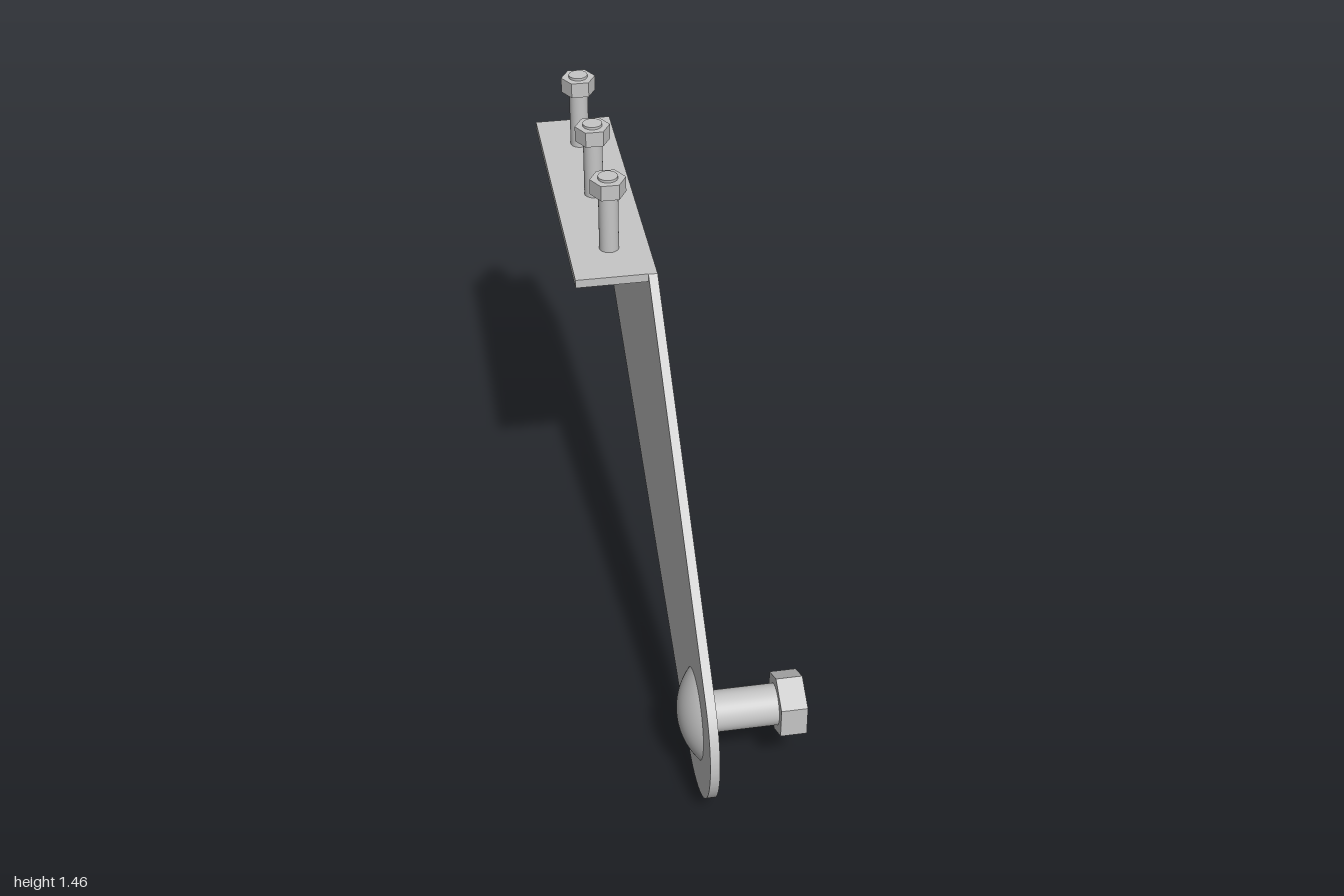
import * as THREE from 'three';
import { toCreasedNormals } from 'three/addons/utils/BufferGeometryUtils.js';

export function createModel() {
  const model = new THREE.Group();
  model.name = 'mountingBracket';
  const steel = new THREE.MeshStandardMaterial({ color: 0xc6c6c6 });
  steel.name = 'steel grey';

  function add(parent, name, geometry, x = 0, y = 0, z = 0) {
    const mesh = new THREE.Mesh(geometry, steel);
    mesh.name = name;
    mesh.position.set(x, y, z);
    parent.add(mesh);
    return mesh;
  }
  const rod = (radius, length) => new THREE.CylinderGeometry(radius, radius, length, 48);
  // Six-sided nut or head with corners on the x axis
  const hex = (radius, length) =>
    toCreasedNormals(new THREE.CylinderGeometry(radius, radius, length, 6).rotateY(Math.PI / 2), 0.5);

  const OUTER = -0.022, INNER = -0.049, TOP = 1.215;
  const PIVOT_Y = 0.24, PIVOT_Z = 0.76;

  // Side plate, drawn in (z, y): straight edges run tangent into the round end
  const outline = new THREE.Shape();
  outline.moveTo(-0.036, TOP);
  outline.lineTo(-1, TOP);
  outline.lineTo(-1, 0.833);
  outline.absarc(PIVOT_Z, PIVOT_Y, 0.24, THREE.MathUtils.degToRad(-116), THREE.MathUtils.degToRad(50.3), false);
  outline.closePath();
  const plate = new THREE.ExtrudeGeometry(outline, { depth: OUTER - INNER, bevelEnabled: false, curveSegments: 48 });
  plate.rotateY(-Math.PI / 2);
  add(model, 'sidePlate', toCreasedNormals(plate, 0.5), OUTER);

  // Top flange folded away from the plate
  add(model, 'topFlange', new THREE.BoxGeometry(0.211, 0.026, 0.962), -0.1545, TOP - 0.013, -0.519);

  // Three upright bolts through the flange
  for (const z of [-0.2, -0.52, -0.84]) {
    const bolt = new THREE.Group();
    bolt.name = 'flangeBolt';
    bolt.position.set(-0.139, 0, z);
    add(bolt, 'boltShaft', rod(0.029, 0.285), 0, 1.3125);
    add(bolt, 'boltNut', hex(0.053, 0.048), 0, 1.423);
    add(bolt, 'boltHead', rod(0.053, 0.041), 0, 1.17);
    model.add(bolt);
  }

  // Pivot bolt, built along y and laid over so its hex end points to +x
  const pivot = new THREE.Group();
  pivot.name = 'pivotBolt';
  pivot.position.set(0, PIVOT_Y, PIVOT_Z);
  pivot.rotation.z = -Math.PI / 2;
  add(pivot, 'pivotShaft', rod(0.06, 0.24), 0, 0.08);
  add(pivot, 'pivotHexNut', hex(0.096, 0.076), 0, 0.221);

  // Shallow spherical cap on the inner face
  const rim = 0.133, rise = 0.051;
  const radius = (rim * rim + rise * rise) / (2 * rise);
  const sweep = Math.asin(rim / radius);
  const dome = new THREE.SphereGeometry(radius, 48, 16, 0, Math.PI * 2, 0, sweep);
  dome.translate(0, rise - radius, 0).rotateX(Math.PI);
  add(pivot, 'domeHead', dome, 0, INNER);
  model.add(pivot);

  return model;
}
